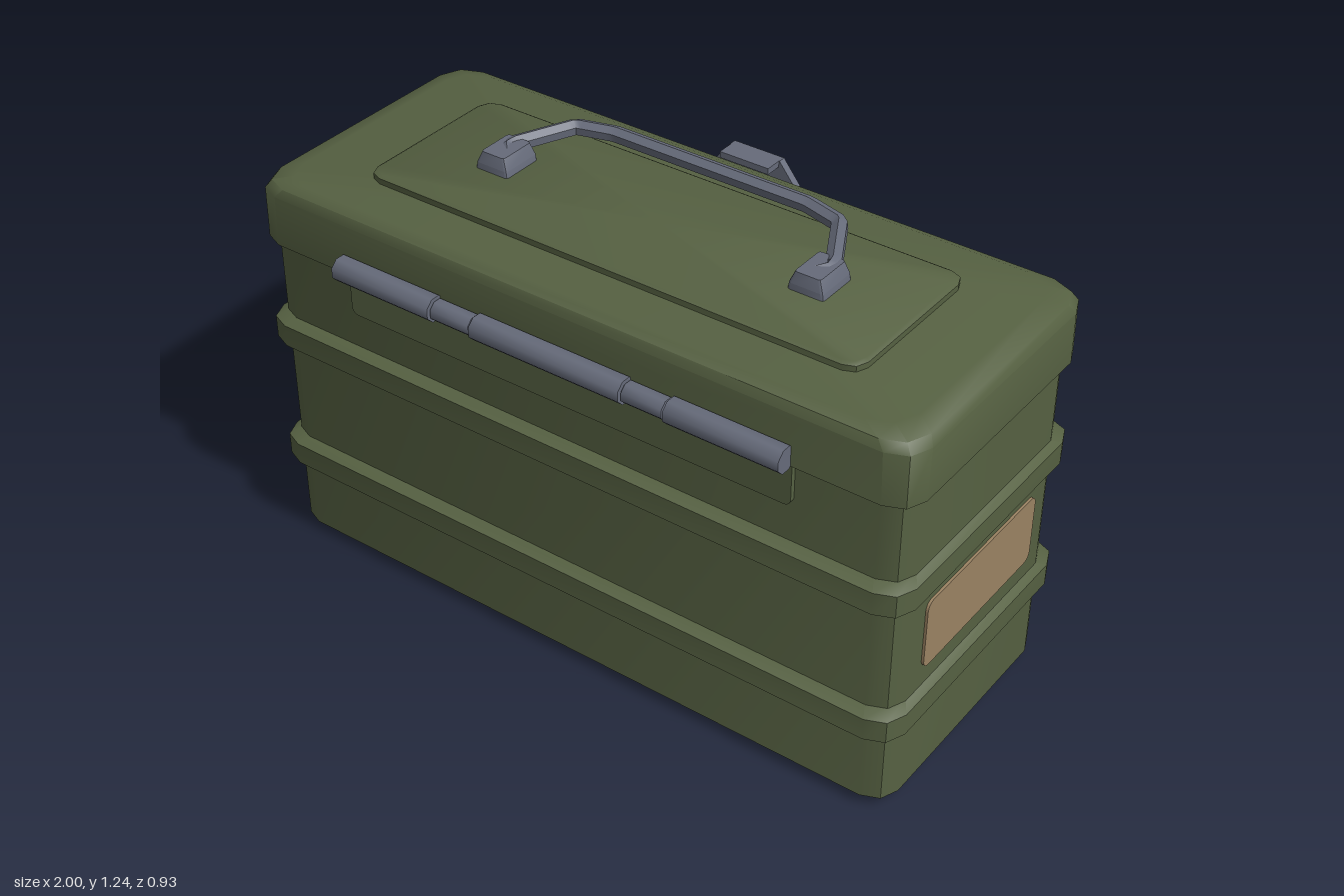
import * as THREE from 'three';
import { toCreasedNormals } from 'three/addons/utils/BufferGeometryUtils.js';

const mat = (name, color) => new THREE.MeshStandardMaterial({ name, color });

// Outline of a rectangle with two-segment rounded corners, as [x, z] points
function outline(hx, hz, r) {
  const pts = [];
  [[1, 1], [-1, 1], [-1, -1], [1, -1]].forEach(([sx, sz], q) => {
    for (let i = 0; i <= 2; i++) {
      const a = (q + i / 2) * Math.PI / 2;
      pts.push([sx * (hx - r) + r * Math.cos(a), sz * (hz - r) + r * Math.sin(a)]);
    }
  });
  return pts;
}

// Closed solid through rings of [y, half width, half depth, corner radius]
function loft(rings, crease = 0.7) {
  const pos = [], idx = [], n = 12;
  rings.forEach(([y, hx, hz, r]) => outline(hx, hz, r).forEach(([x, z]) => pos.push(x, y, z)));
  for (let k = 0; k < rings.length - 1; k++) {
    for (let i = 0; i < n; i++) {
      const a = k * n + i, b = k * n + (i + 1) % n;
      idx.push(a, a + n, b, b, a + n, b + n);
    }
  }
  const last = (rings.length - 1) * n, c = rings.length * n;
  pos.push(0, rings[0][0], 0, 0, rings[rings.length - 1][0], 0);
  for (let i = 0; i < n; i++) {
    const j = (i + 1) % n;
    idx.push(c, i, j, c + 1, last + j, last + i);
  }
  const g = new THREE.BufferGeometry();
  g.setAttribute('position', new THREE.Float32BufferAttribute(pos, 3));
  g.setIndex(idx);
  return toCreasedNormals(g, crease);
}

// Flat plate with rounded corners, extruded along z from 0
function plate(w, h, r, depth) {
  const s = new THREE.Shape();
  const x = w / 2, y = h / 2;
  s.absarc(x - r, y - r, r, 0, Math.PI / 2);
  s.absarc(-x + r, y - r, r, Math.PI / 2, Math.PI);
  s.absarc(-x + r, -y + r, r, Math.PI, Math.PI * 1.5);
  s.absarc(x - r, -y + r, r, Math.PI * 1.5, Math.PI * 2);
  return new THREE.ExtrudeGeometry(s, { depth, bevelEnabled: false, curveSegments: 4 });
}

// Rod along x with eight sides
function rod(radius, length) {
  const g = new THREE.CylinderGeometry(radius, radius, length, 8);
  return toCreasedNormals(g.rotateZ(Math.PI / 2).rotateX(Math.PI / 8), 0.9);
}

export function createModel() {
  const model = new THREE.Group();
  model.name = 'toolCase';
  const green = mat('olive green paint', 0x566142);
  const steel = mat('grey steel', 0x666b7a);
  const tan = mat('tan label', 0x9a8262);
  const orange = mat('orange label', 0xb65d27);

  const add = (name, geometry, material, x = 0, y = 0, z = 0, parent = model) => {
    const m = new THREE.Mesh(geometry, material);
    m.name = name;
    m.position.set(x, y, z);
    parent.add(m);
    return m;
  };

  // Body with a chamfered foot
  add('body', loft([
    [0, 0.935, 0.325, 0.06], [0.03, 0.98, 0.391, 0.07], [0.97, 0.98, 0.391, 0.07],
  ]), green);

  // Two raised bands around the body
  for (const y of [0.29, 0.685]) {
    add('band', loft([
      [y - 0.052, 0.975, 0.385, 0.07], [y - 0.036, 1, 0.423, 0.075],
      [y + 0.028, 1, 0.423, 0.075], [y + 0.046, 0.975, 0.385, 0.07],
    ], 0.6), green);
  }

  // Lid with softened top edge, and the raised panel on it
  add('lid', loft([
    [0.953, 0.975, 0.39, 0.07], [0.962, 1, 0.412, 0.075], [1.108, 1, 0.412, 0.08],
    [1.132, 0.985, 0.402, 0.085], [1.145, 0.935, 0.372, 0.09],
  ]), green);
  add('lidPanel', loft([
    [1.14, 0.748, 0.246, 0.045], [1.161, 0.748, 0.246, 0.045], [1.167, 0.738, 0.236, 0.04],
  ]), green);

  // Front hinge leaf and barrel of alternating knuckles
  add('hingeLeaf', plate(1.365, 0.15, 0.02, 0.022), green, 0, 0.915, 0.383);
  const hinge = new THREE.Group();
  hinge.name = 'hinge';
  model.add(hinge);
  [[-0.685, -0.365, 0.036], [-0.36, -0.238, 0.03], [-0.232, 0.227, 0.036],
    [0.232, 0.35, 0.03], [0.357, 0.682, 0.036]].forEach(([a, b, r]) =>
    add('hingeKnuckle', rod(r, b - a), steel, (a + b) / 2, 0.991, 0.43, hinge));
  add('hingePin', rod(0.022, 1.35), steel, 0, 0.991, 0.43, hinge);

  // Carrying handle lying back over the lid
  const handle = new THREE.Group();
  handle.name = 'handle';
  model.add(handle);
  const half = [[0.475, 1.195, 0.005], [0.497, 1.2, -0.02], [0.49, 1.202, -0.05],
    [0.41, 1.21, -0.2], [0.3, 1.213, -0.226]];
  const path = [...half, ...half.map(([x, y, z]) => [-x, y, z]).reverse()]
    .map((p) => new THREE.Vector3(...p));
  const curve = new THREE.CatmullRomCurve3(path, false, 'catmullrom', 0);
  add('grip', toCreasedNormals(new THREE.TubeGeometry(curve, 80, 0.023, 6), 0.6), steel, 0, 0, 0, handle);
  for (const s of [-1, 1]) {
    add('handleFoot', loft([
      [1.16, 0.053, 0.063, 0.008], [1.185, 0.05, 0.062, 0.008], [1.217, 0.037, 0.055, 0.008],
    ], 0.4), steel, s * 0.482, 0, 0, handle);
  }

  // Rear latch: tapered plate, hook over the lid, pivot rod and its mount
  const latch = new THREE.Group();
  latch.name = 'latch';
  model.add(latch);
  const shape = new THREE.Shape([[-0.13, 0.73], [0.13, 0.73], [0.13, 1.1], [0.078, 1.165],
    [-0.078, 1.165], [-0.13, 1.1]].map((p) => new THREE.Vector2(...p)));
  add('latchPlate', new THREE.ExtrudeGeometry(shape, { depth: 0.022, bevelEnabled: false }), steel, 0, 0, -0.453, latch);
  add('latchHook', new THREE.BoxGeometry(0.152, 0.018, 0.065), steel, 0, 1.156, -0.414, latch);
  add('latchPivot', rod(0.027, 0.328), steel, 0, 0.731, -0.44, latch);
  add('latchMount', new THREE.BoxGeometry(0.3, 0.08, 0.045), green, 0, 0.727, -0.404, latch);

  // Labels on the left end and on the back
  const side = add('sideLabel', plate(0.52, 0.206, 0.025, 0.009), tan, 0.978, 0.495, 0);
  side.rotation.y = Math.PI / 2;
  const back = add('backLabel', plate(0.635, 0.186, 0.006, 0.009), orange, -0.59, 0.485, -0.39);
  back.rotation.y = Math.PI;

  return model;
}
